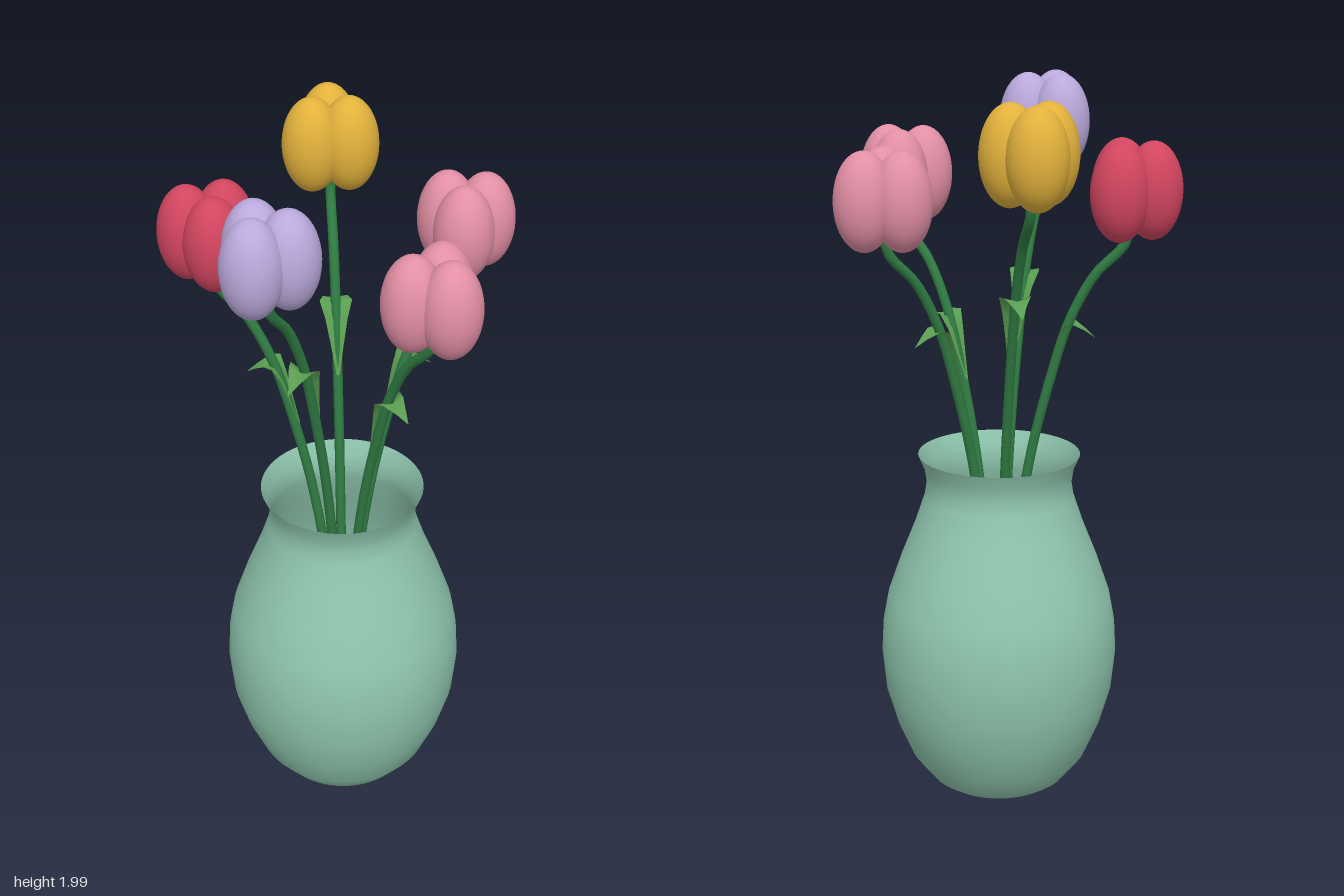
import * as THREE from 'three';

const mat = (color, side = THREE.FrontSide) => new THREE.MeshStandardMaterial({ color, side });

function part(name, geometry, material) {
  const mesh = new THREE.Mesh(geometry, material);
  mesh.name = name;
  return mesh;
}

// Folded, pointed leaf: each row is [r, y, half width, fold height]
function leafGeometry(rows) {
  const pos = [], index = [];
  rows.forEach(([r, y, w, fold], i) => {
    pos.push(r, y + fold, -w, r, y, 0, r, y + fold, w);
    if (i === 0) return;
    for (let j = 0; j < 2; j++) {
      const a = (i - 1) * 3 + j, b = a + 3;
      index.push(a, a + 1, b, a + 1, b + 1, b);
    }
  });
  const g = new THREE.BufferGeometry();
  g.setAttribute('position', new THREE.Float32BufferAttribute(pos, 3));
  g.setIndex(index);
  g.computeVertexNormals();
  return g;
}

export function createModel() {
  const model = new THREE.Group();
  model.name = 'vaseOfTulips';
  const bouquet = new THREE.Group();
  bouquet.name = 'bouquet';
  bouquet.position.x = -0.038;
  model.add(bouquet);

  // Open vase with a flared lip
  const profile = [
    [0, 0.01], [0.165, 0.01], [0.195, 0.03], [0.25, 0.1], [0.293, 0.2], [0.322, 0.3],
    [0.333, 0.41], [0.328, 0.5], [0.313, 0.58], [0.275, 0.69], [0.235, 0.79],
    [0.208, 0.87], [0.202, 0.91], [0.208, 0.95], [0.225, 0.99],
  ].map(([r, y]) => new THREE.Vector2(r, y));
  bouquet.add(part('vase', new THREE.LatheGeometry(profile, 64), mat(0x8fc6ae, THREE.DoubleSide)));

  const stemMat = mat(0x2f7a42);
  const leafMat = mat(0x5a9f52, THREE.DoubleSide);
  const petalGeo = new THREE.SphereGeometry(1, 32, 24).scale(0.08, 0.132, 0.08);

  // Five tulips spaced evenly around the vase; the colour and the height of each
  const tulips = [
    [0xe38fa5, 1.73], [0xe3b23c, 1.868], [0xd2455f, 1.73], [0xbba9dc, 1.868], [0xe38fa5, 1.73],
  ];
  tulips.forEach(([color, height], i) => {
    const tulip = new THREE.Group();
    tulip.name = 'tulip' + (i + 1);
    tulip.rotation.y = i * Math.PI * 2 / 5;
    bouquet.add(tulip);
    const k = height / 1.73; // taller flowers stretch the stem

    // Stem bending outward to the flower
    const path = new THREE.CatmullRomCurve3([
      [0.02, 0.45], [0.05, 0.75], [0.09, 1.0], [0.138, 1.2],
      [0.19, 1.37], [0.258, 1.5], [0.34, 1.59], [0.352, 1.68],
    ].map(([r, y]) => new THREE.Vector3(r, y * k, 0)));
    tulip.add(part('stem', new THREE.TubeGeometry(path, 40, 0.0135, 12), stemMat));

    // Leaf climbing the stem, then folding outward to a tip
    const leaf = leafGeometry([
      [0.118, 1.18, 0.004, 0], [0.14, 1.25, 0.017, 0.004], [0.16, 1.31, 0.03, 0.012],
      [0.18, 1.348, 0.044, 0.018], [0.205, 1.358, 0.034, 0.008],
      [0.235, 1.345, 0.016, 0.002], [0.262, 1.325, 0.001, 0],
    ]);
    leaf.scale(1, k, 1);
    tulip.add(part('leaf', leaf, leafMat));

    // Three upright petals
    const flower = new THREE.Group();
    flower.name = 'flower';
    flower.position.set(0.351, height, 0);
    const petalMat = mat(color);
    for (let p = 0; p < 3; p++) {
      const a = p * Math.PI * 2 / 3;
      const petal = part('petal', petalGeo, petalMat);
      petal.position.set(Math.cos(a) * 0.057, 0, Math.sin(a) * 0.057);
      flower.add(petal);
    }
    tulip.add(flower);
  });

  // Rest the vase on the ground
  bouquet.position.y = -new THREE.Box3().setFromObject(bouquet).min.y;
  return model;
}
